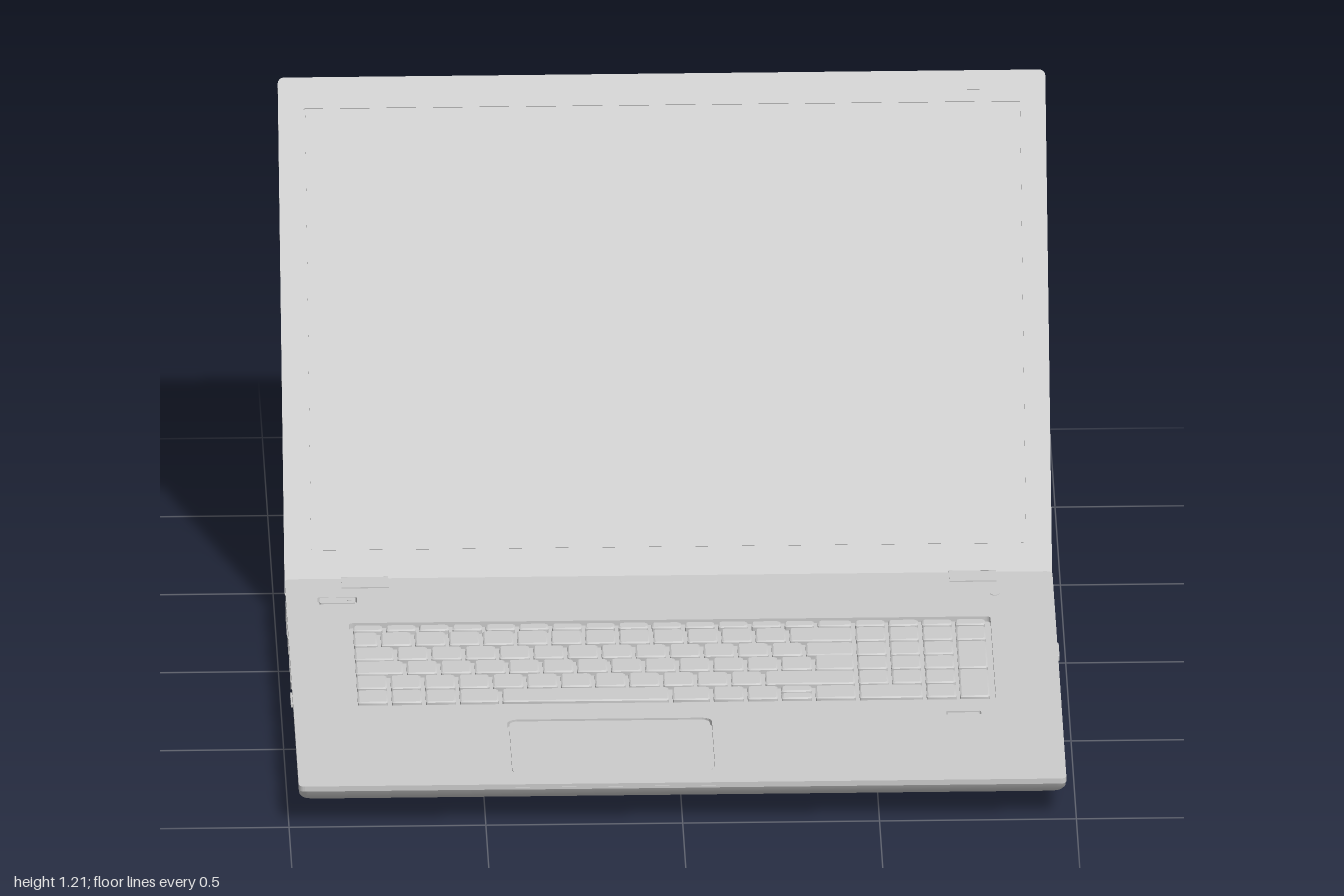
import * as THREE from 'three';
import { mergeGeometries, toCreasedNormals } from 'three/addons/utils/BufferGeometryUtils.js';

const grey = new THREE.MeshStandardMaterial({ color: 0xcccccc });

function add(parent, name, geometry, x = 0, y = 0, z = 0) {
  const mesh = new THREE.Mesh(geometry, grey);
  mesh.name = name;
  mesh.position.set(x, y, z);
  parent.add(mesh);
  return mesh;
}

// Counter-clockwise rounded rectangle
function rect(x0, x1, y0, y1, r = 0.01, n = 4) {
  const pts = [];
  [[x1 - r, y0 + r], [x1 - r, y1 - r], [x0 + r, y1 - r], [x0 + r, y0 + r]].forEach(([cx, cy], c) => {
    for (let i = 0; i <= n; i++) {
      const a = (c - 1 + i / n) * Math.PI / 2;
      pts.push(new THREE.Vector2(cx + r * Math.cos(a), cy + r * Math.sin(a)));
    }
  });
  return pts;
}

// Solid through loops of equal length, each at its own z, from back to front
function loft(sections, crease = 0.5) {
  const pos = [], index = [], n = sections[0].pts.length, last = (sections.length - 1) * n;
  for (const s of sections) for (const p of s.pts) pos.push(p.x, p.y, s.z);
  for (let k = 0; k < last; k += n) {
    for (let i = 0; i < n; i++) {
      const j = (i + 1) % n;
      index.push(k + i, k + j, k + n + j, k + i, k + n + j, k + n + i);
    }
  }
  for (let i = 1; i < n - 1; i++) index.push(0, i + 1, i, last, last + i, last + i + 1);
  const g = new THREE.BufferGeometry();
  g.setAttribute('position', new THREE.Float32BufferAttribute(pos, 3));
  g.setIndex(index);
  return toCreasedNormals(g, crease);
}

// Flat plate with optional holes
function slab(pts, depth, holes = []) {
  const shape = new THREE.Shape(pts);
  holes.forEach(h => shape.holes.push(new THREE.Path(h)));
  return new THREE.ExtrudeGeometry(shape, { depth, bevelEnabled: false });
}

// Lay a geometry down so that its z becomes y
const flat = g => g.rotateX(-Math.PI / 2);
// Rounded rectangle on the ground plan, given in x and z
const plan = (x0, x1, z0, z1, r, n) => rect(x0, x1, -z1, -z0, r, n);

function keyboard() {
  const keys = [], unit = 0.0865, gap = 0.01, left = -0.81, right = 0.465;
  const zs = [[-0.035, 0.001], [0.01, 0.095], [0.105, 0.186], [0.195, 0.276], [0.286, 0.37], [0.38, 0.462]];
  const key = (x0, x1, z0, z1) => keys.push(loft([
    { pts: plan(x0, x1, z0, z1, 0.006, 2), z: 0.098 },
    { pts: plan(x0, x1, z0, z1, 0.006, 2), z: 0.108 },
    { pts: plan(x0 + 0.004, x1 - 0.004, z0 + 0.004, z1 - 0.004, 0.006, 2), z: 0.111 },
  ]));
  const ones = n => Array(n).fill(1);
  const rows = [
    Array(14).fill(0.975), [0.8, ...ones(12)], [1.25, ...ones(12)],
    [1.5, ...ones(12)], ones(12), [1, 1, 1, 1.25, 5, 1.2, 1, 1, 1],
  ];
  rows.forEach((widths, r) => {
    let x = left;
    const [z0, z1] = zs[r];
    widths.forEach((w, i) => {
      const end = x + w * unit - gap;
      if (r === 5 && i === 8) { // split arrow key
        key(x, end, z0, z0 + 0.037);
        key(x, end, z0 + 0.045, z1);
      } else key(x, end, z0, z1);
      x += w * unit;
    });
    key(x, right - gap, r === 3 ? zs[2][1] - 0.002 : z0, z1); // last key fills the row
  });
  // Number pad, with two tall keys and one wide key
  for (let r = 0; r < 6; r++) for (let c = 0; c < 4; c++) {
    if ((c === 3 && (r === 3 || r === 5)) || (r === 5 && c === 1)) continue;
    const x = right + c * 0.085, tall = c === 3 && (r === 2 || r === 4), wide = r === 5 && c === 0;
    key(x, x + (wide ? 0.16 : 0.075), zs[r][0], zs[tall ? r + 1 : r][1]);
  }
  return flat(mergeGeometries(keys));
}

function createBase() {
  const base = new THREE.Group();
  base.name = 'base';
  // Tapered lower shell: y, half width, front z, back z
  add(base, 'lowerShell', flat(loft([
    [0.014, 0.85, 0.8, -0.285], [0.022, 0.9, 0.85, -0.295], [0.042, 0.955, 0.915, -0.31],
    [0.06, 0.968, 0.955, -0.318], [0.08, 0.973, 0.99, -0.325], [0.098, 0.975, 1, -0.33],
  ].map(([y, w, f, b]) => ({ pts: plan(-w, w, b, f, 0.025, 5), z: y })), 0.7)));

  // Top deck with openings for the keyboard, touchpad and buttons
  const deckHoles = [
    plan(-0.82, 0.81, -0.045, 0.485, 0.012), plan(-0.435, 0.085, 0.585, 0.925, 0.025),
    plan(-0.895, -0.795, -0.212, -0.168, 0.005), plan(0.68, 0.77, 0.56, 0.582, 0.004),
  ];
  add(base, 'deck', flat(slab(plan(-0.975, 0.975, -0.33, 1, 0.015), 0.014, deckHoles)), 0, 0.098);
  add(base, 'keys', keyboard());
  add(base, 'touchpad', flat(slab(plan(-0.43, 0.08, 0.59, 0.92, 0.022), 0.011)), 0, 0.098);
  add(base, 'powerButton', flat(slab(plan(-0.89, -0.8, -0.207, -0.173, 0.005), 0.015)), 0, 0.098);
  add(base, 'powerLight', new THREE.CylinderGeometry(0.006, 0.006, 0.004, 16), -0.815, 0.113, -0.19);
  add(base, 'fingerSensor', flat(slab(plan(0.685, 0.765, 0.564, 0.578, 0.004), 0.012)), 0, 0.098);
  add(base, 'indicator', new THREE.CylinderGeometry(0.012, 0.012, 0.003, 20), 0.825, 0.112, -0.19);
  add(base, 'frontLatchLip', new THREE.BoxGeometry(0.53, 0.006, 0.01), -0.17, 0.101, 0.996);

  // Hinges
  for (const s of [-1, 1]) {
    add(base, 'hingeCover', new THREE.BoxGeometry(0.12, 0.03, 0.065), s * 0.772, 0.1, -0.3);
    add(base, 'hingeBarrel', new THREE.CylinderGeometry(0.024, 0.024, 0.12, 24).rotateZ(Math.PI / 2), s * 0.772, 0.09, -0.331);
  }

  // Sockets on the sides: centre z, centre y, length, height
  const side = (s, name, z, y, len, h, out = 0) =>
    add(base, name, slab(rect(-len / 2, len / 2, -h / 2, h / 2, Math.min(len, h) * 0.2), 0.025)
      .rotateY(s * Math.PI / 2), s * (0.951 + out), y, z);
  const jack = (s, z, y) => add(base, 'jack',
    new THREE.TorusGeometry(0.011, 0.004, 8, 20).rotateY(Math.PI / 2), s * 0.972, y, z);
  side(1, 'opticalDrive', 0.17, 0.069, 0.64, 0.06);
  side(1, 'driveButton', 0.115, 0.08, 0.08, 0.018, 0.004);
  side(1, 'usbPort', 0.63, 0.085, 0.075, 0.024);
  side(1, 'usbPort', 0.545, 0.085, 0.07, 0.024);
  side(1, 'lockSlot', -0.185, 0.085, 0.02, 0.02);
  jack(1, 0.717, 0.09);
  jack(1, -0.225, 0.085);
  side(-1, 'cardSlot', 0.37, 0.08, 0.07, 0.014, 0.003);
  side(-1, 'usbPort', 0.24, 0.08, 0.075, 0.024);
  side(-1, 'usbPort', 0.13, 0.08, 0.075, 0.024);
  side(-1, 'videoPort', 0, 0.08, 0.1, 0.03);
  for (let i = 0; i < 8; i++) side(-1, 'ventSlat', -0.09 - i * 0.02, 0.075, 0.01, 0.04);

  // Underside: T-shaped cover, battery and feet
  const cover = [[-0.37, 0.16], [-0.37, -0.52], [-0.63, -0.52], [-0.63, -0.79], [0.63, -0.79],
    [0.63, -0.52], [0.37, -0.52], [0.37, 0.16]].map(p => new THREE.Vector2(...p));
  add(base, 'bottomCover', flat(slab(cover, 0.01)), 0, 0.009);
  const battery = new THREE.CylinderGeometry(1, 1, 1.02, 32).rotateZ(Math.PI / 2);
  add(base, 'battery', battery, -0.12, 0.045, -0.24).scale.set(1, 0.038, 0.07);
  for (const s of [-1, 1]) {
    const back = new THREE.SphereGeometry(1, 28, 14);
    add(base, 'backFoot', back, s * 0.84, 0.02, -0.225).scale.set(0.08, 0.02, 0.06);
    add(base, 'frontFoot', back, s * 0.8, 0.02, 0.76).scale.set(0.06, 0.01, 0.035);
  }
  return base;
}

function createLid() {
  const lid = new THREE.Group(), w = 0.975, h = 1.333;
  lid.name = 'lid';
  lid.position.set(0, 0.06, -0.325);
  lid.rotation.x = -Math.PI / 6;
  // Crowned back shell: z, inset from the outline
  add(lid, 'backShell', loft([
    [-0.034, 0.14], [-0.029, 0.06], [-0.021, 0.02], [-0.013, 0.004], [-0.007, 0],
  ].map(([z, d]) => ({ pts: rect(-w + d, w - d, d, h - d, 0.015), z })), 0.7));
  add(lid, 'bezel', slab(rect(-w, w, 0, h, 0.015), 0.008, [rect(-0.91, 0.91, 0.12, 1.253, 0.004)]), 0, 0, -0.008);
  add(lid, 'screen', slab(rect(-0.906, 0.906, 0.124, 1.249, 0.004), 0.004), 0, 0, -0.008);
  // Small rubber stops
  for (const s of [-1, 1]) for (const y of [0.06, 1.29])
    add(lid, 'rubberStop', new THREE.BoxGeometry(0.06, 0.012, 0.004), s * 0.8, y, 0.001);
  return lid;
}

export function createModel() {
  const model = new THREE.Group();
  model.name = 'laptop';
  model.add(createBase(), createLid());
  return model;
}
